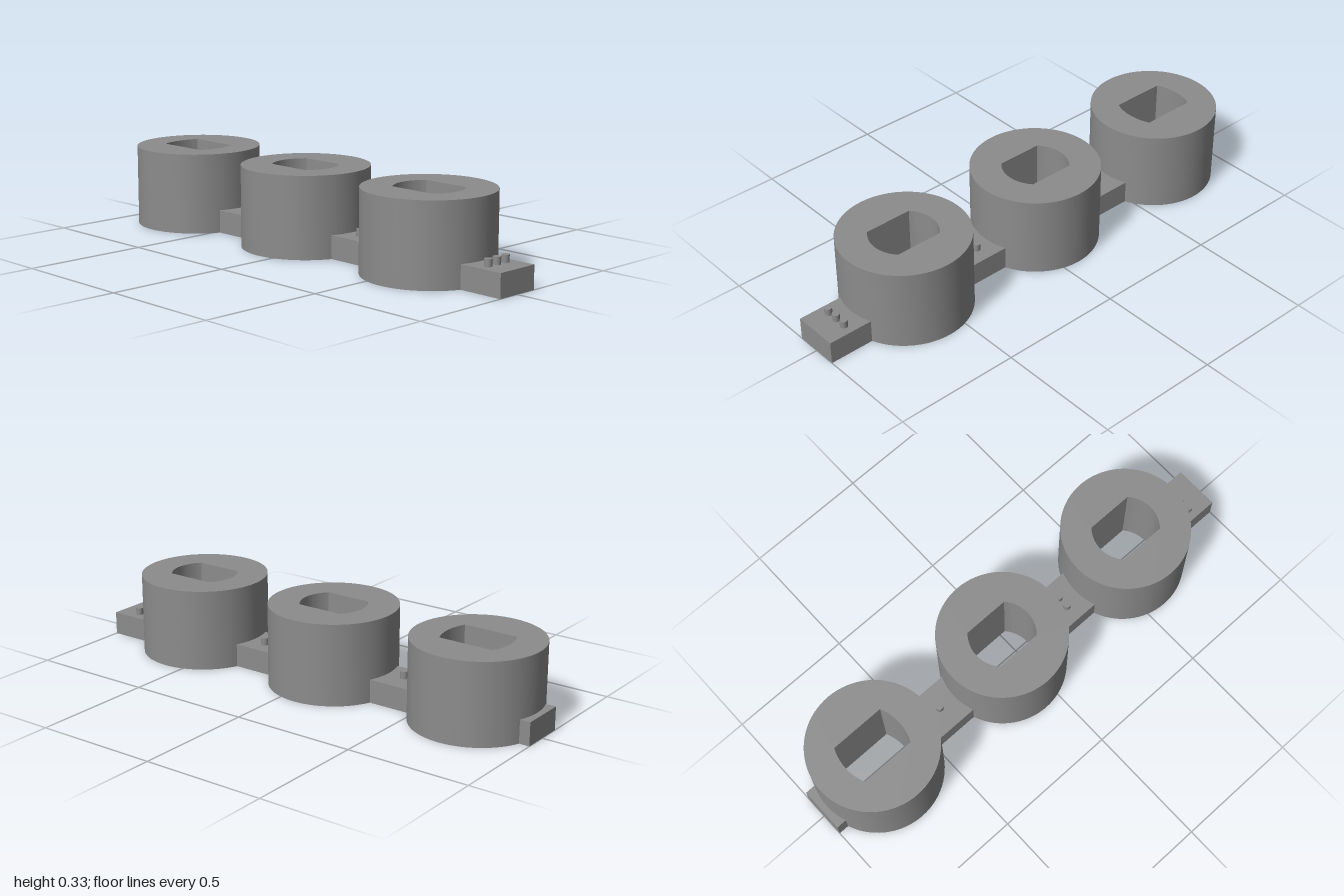
import * as THREE from 'three';
import { toCreasedNormals } from 'three/addons/utils/BufferGeometryUtils.js';

const RADIUS = 0.255, HEIGHT = 0.326;
const BAR_HEIGHT = 0.093, BAR_WIDTH = 0.184;
const PIN_RADIUS = 0.015, PIN_HEIGHT = 0.029;

// Slot with two flat sides (at +-hz) and two bowed ends reaching +-reach
function slotPath(reach, hx, hz) {
  const c = (reach * reach - hx * hx - hz * hz) / (2 * (reach - hx));
  const r = reach - c;
  const a = Math.atan2(hz, hx - c);
  const path = new THREE.Path();
  path.absarc(c, 0, r, -a, a, false);
  path.absarc(-c, 0, r, Math.PI - a, Math.PI + a, false);
  path.closePath();
  return path;
}

// Upright round body with a slot cut right through
function ringGeometry(slot) {
  const shape = new THREE.Shape();
  shape.absarc(0, 0, RADIUS, 0, Math.PI * 2, false);
  shape.holes.push(slotPath(...slot));
  const geo = new THREE.ExtrudeGeometry(shape, { depth: HEIGHT, bevelEnabled: false, curveSegments: 40 });
  geo.rotateX(-Math.PI / 2);
  return toCreasedNormals(geo, 0.5);
}

export function createModel() {
  const model = new THREE.Group();
  model.name = 'slottedRingChain';
  const grey = new THREE.MeshStandardMaterial({ color: 0x8c8c8c });
  grey.name = 'grey';

  const add = (name, geo, x, y, z) => {
    const mesh = new THREE.Mesh(geo, grey);
    mesh.name = name;
    mesh.position.set(x, y, z);
    model.add(mesh);
  };

  // Three slotted round bodies
  const bodies = [
    { x: -0.72, slot: [0.131, 0.112, 0.087] },
    { x: -0.07, slot: [0.13, 0.094, 0.092] },
    { x: 0.58, slot: [0.133, 0.097, 0.091] },
  ];
  bodies.forEach((b, i) => add('ring' + (i + 1), ringGeometry(b.slot), b.x, 0, 0));

  // Low connecting bars, ending inside the ring walls
  const bars = [[-1, -0.9], [-0.53, -0.26], [0.12, 0.39], [0.77, 1]];
  bars.forEach(([x0, x1], i) => add('bar' + (i + 1),
    new THREE.BoxGeometry(x1 - x0, BAR_HEIGHT, BAR_WIDTH), (x0 + x1) / 2, BAR_HEIGHT / 2, 0));

  // Counting pins: one, two and three on successive bars
  const pin = new THREE.CylinderGeometry(PIN_RADIUS, PIN_RADIUS, PIN_HEIGHT, 24);
  [-0.4, 0.253, 0.905].forEach((x, i) => {
    for (let k = 0; k <= i; k++) {
      add('pin', pin, x, BAR_HEIGHT + PIN_HEIGHT / 2, (k - i / 2) * 0.047);
    }
  });
  return model;
}
